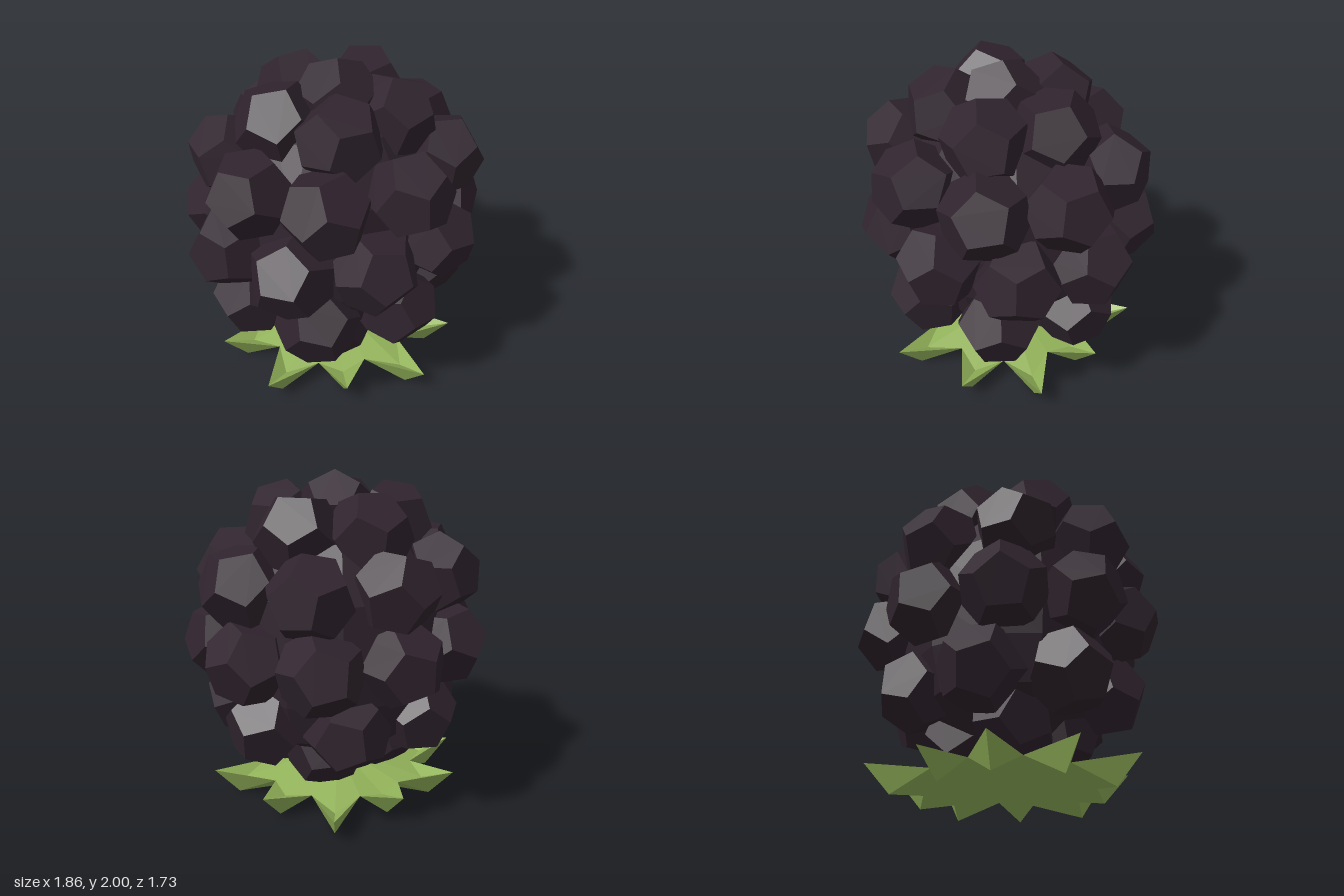
import * as THREE from 'three';

const berryMat = new THREE.MeshStandardMaterial({ color: 0x30242e });
berryMat.name = 'blackPurple';
const leafMat = new THREE.MeshStandardMaterial({ color: 0x93b35a });
leafMat.name = 'leafGreen';

// The fruit is slightly narrower from front to back
const DEPTH = 0.92;

// Small seeded random generator
function makeRandom(seed) {
  return () => {
    seed = (seed * 16807) % 2147483647;
    return seed / 2147483647;
  };
}

function faceted(geometry) {
  const g = geometry.index ? geometry.toNonIndexed() : geometry;
  g.computeVertexNormals();
  return g;
}

function polar(angle, r, y) {
  return new THREE.Vector3(Math.sin(angle) * r, y, Math.cos(angle) * r);
}

// Star of folded sepals: keeled underneath, grooved on top
function sepalGeometry(reaches) {
  const pos = [];
  const tri = (...pts) => pts.forEach(p => pos.push(p.x, p.y, p.z));
  const bottom = new THREE.Vector3(0, 0, 0);
  const peak = new THREE.Vector3(0, 0.23, 0);
  const step = (Math.PI * 2) / reaches.length;
  reaches.forEach((reach, i) => {
    const a = i * step;
    const tip = polar(a, reach, 0.17);
    const keel = polar(a, reach - 0.15, 0);
    const groove = polar(a, reach - 0.2, 0.1);
    const n0 = polar(a - step / 2, 0.47, 0.12);
    const n1 = polar(a + step / 2, 0.47, 0.12);
    tri(peak, n0, groove);
    tri(peak, groove, n1);
    tri(groove, n0, tip);
    tri(groove, tip, n1);
    tri(bottom, keel, n0);
    tri(bottom, n1, keel);
    tri(keel, tip, n0);
    tri(keel, n1, tip);
  });
  const g = new THREE.BufferGeometry();
  g.setAttribute('position', new THREE.Float32BufferAttribute(pos, 3));
  g.computeVertexNormals();
  return g;
}

export function createModel() {
  const model = new THREE.Group();
  model.name = 'blackberry';
  const random = makeRandom(4711);

  // Core filling the gaps between the drupelets
  const profile = [[0, 0.2], [0.26, 0.28], [0.56, 0.5], [0.64, 0.75], [0.67, 1.05],
    [0.63, 1.35], [0.42, 1.65], [0, 1.85]].map(p => new THREE.Vector2(p[0], p[1]));
  const coreGeo = new THREE.LatheGeometry(profile, 12).scale(1, 1, DEPTH);
  const core = new THREE.Mesh(faceted(coreGeo), berryMat);
  core.name = 'core';
  model.add(core);

  // Rings of drupelets: count, ring radius, height, half-step offset, shift in z
  const rings = [
    [4, 0.29, 0.37, 0.5, 0.035],
    [7, 0.58, 0.585, 0, 0.03],
    [9, 0.695, 1.0, 0.5, 0.01],
    [8, 0.635, 1.4, 0, 0.03],
    [5, 0.35, 1.675, 0.5, 0.02],
    [1, 0, 1.745, 0, 0.04],
  ];
  const drupeletGeo = faceted(new THREE.DodecahedronGeometry(0.255));
  rings.forEach(([count, radius, y, offset, z], row) => {
    const ring = new THREE.Group();
    ring.name = 'drupeletRing' + (row + 1);
    ring.position.z = z;
    for (let i = 0; i < count; i++) {
      const drupelet = new THREE.Mesh(drupeletGeo, berryMat);
      drupelet.name = 'drupelet';
      drupelet.position.copy(polar(((i + offset) / count) * Math.PI * 2, radius, y));
      drupelet.position.z *= DEPTH;
      drupelet.rotation.set(random() * 6.28, random() * 6.28, random() * 6.28);
      // The crown drupelet points one corner straight up
      if (count === 1) {
        const corner = new THREE.Vector3(1, 1, 1).normalize();
        drupelet.quaternion.setFromUnitVectors(corner, new THREE.Vector3(0, 1, 0));
      }
      ring.add(drupelet);
    }
    model.add(ring);
  });

  // Leafy base: ten uneven sepals, starting at the front
  const reaches = [0.82, 0.77, 0.8, 0.72, 0.81, 0.68, 0.76, 0.77, 0.8, 0.72];
  const sepals = new THREE.Mesh(sepalGeometry(reaches), leafMat);
  sepals.name = 'sepals';
  sepals.position.z = 0.01;
  model.add(sepals);

  return model;
}
